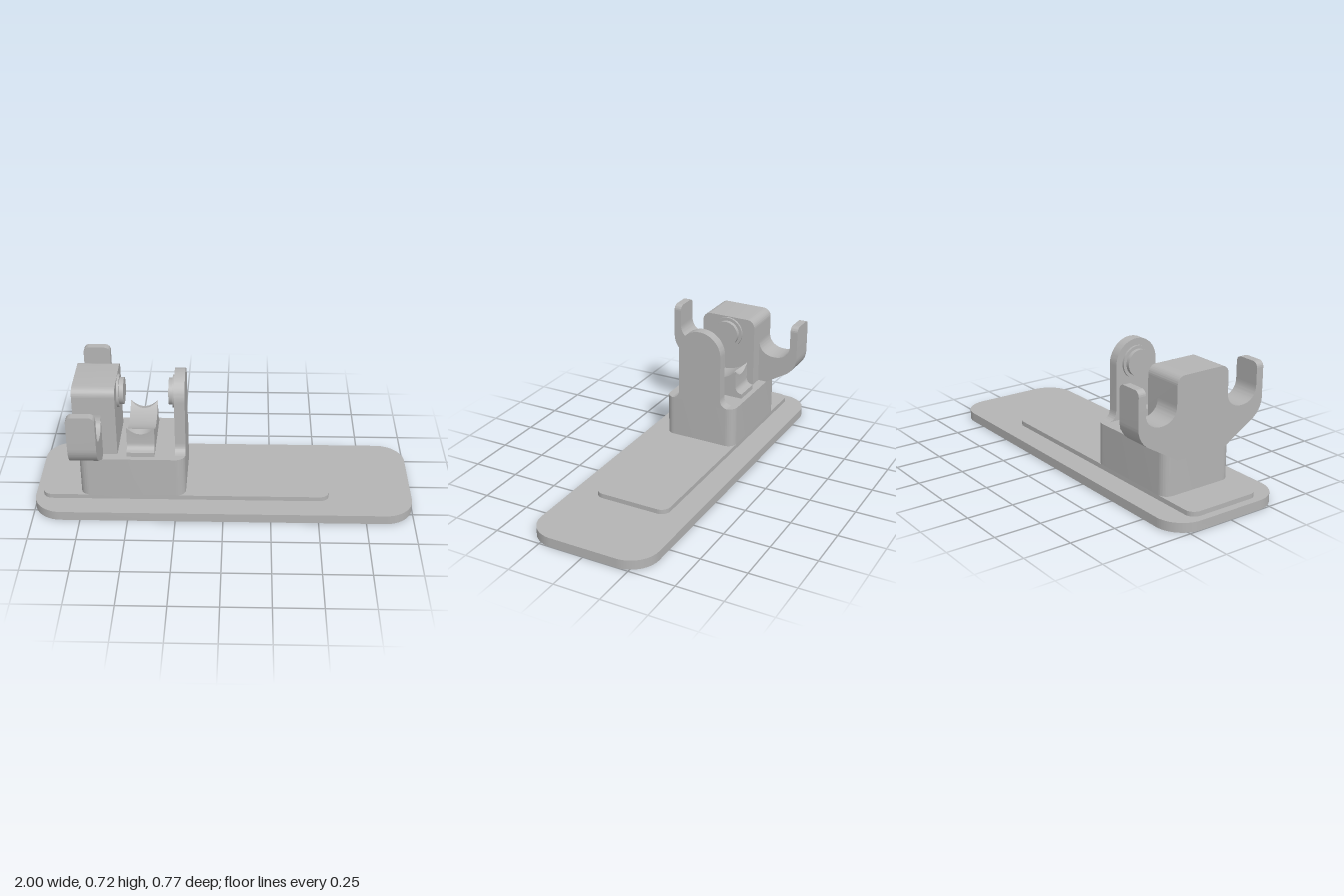
import * as THREE from 'three';
import { toCreasedNormals } from 'three/addons/utils/BufferGeometryUtils.js';

const grey = new THREE.MeshStandardMaterial({ color: 0xb4b4b4 });
grey.name = 'plain grey';

function part(name, geometry, crease = 0.6) {
  const flat = geometry.index ? geometry.toNonIndexed() : geometry;
  const mesh = new THREE.Mesh(toCreasedNormals(flat, crease), grey);
  mesh.name = name;
  return mesh;
}

const extrude = (shape, depth) =>
  new THREE.ExtrudeGeometry(shape, { depth, bevelEnabled: false, curveSegments: 20 });

// Rectangle with separate radii for the lower and upper corners
function roundedRect(x0, y0, x1, y1, low, high) {
  const s = new THREE.Shape();
  s.moveTo(x0 + low, y0).lineTo(x1 - low, y0);
  if (low) s.absarc(x1 - low, y0 + low, low, -Math.PI / 2, 0, false);
  s.lineTo(x1, y1 - high);
  s.absarc(x1 - high, y1 - high, high, 0, Math.PI / 2, false);
  s.lineTo(x0 + high, y1);
  s.absarc(x0 + high, y1 - high, high, Math.PI / 2, Math.PI, false);
  s.lineTo(x0, y0 + low);
  if (low) s.absarc(x0 + low, y0 + low, low, Math.PI, Math.PI * 1.5, false);
  return s;
}

// Horizontal slab, optionally with the six screw holes
function slab(name, x0, x1, halfZ, y0, y1, radius, holed) {
  const s = roundedRect(x0, -halfZ, x1, halfZ, radius, radius);
  if (holed) {
    for (const x of [-0.33, -0.55, -0.68]) {
      for (const z of [-0.15, 0.15]) {
        s.holes.push(new THREE.Path().absarc(x, z, 0.037, 0, Math.PI * 2, true));
      }
    }
  }
  return part(name, extrude(s, y1 - y0).rotateX(-Math.PI / 2).translate(0, y0, 0));
}

// Symmetric side profile (z, y) carried along x
const alongX = (name, shape, x0, x1) =>
  part(name, extrude(shape, x1 - x0).rotateY(Math.PI / 2).translate(x0, 0, 0));

// Upright ear with a round top and filleted foot
function earShape() {
  const s = new THREE.Shape();
  s.moveTo(-0.168, 0.3).lineTo(0.168, 0.3);
  s.quadraticCurveTo(0.125, 0.305, 0.125, 0.355);
  s.lineTo(0.125, 0.592);
  s.absarc(0, 0.592, 0.125, 0, Math.PI, false);
  s.lineTo(-0.125, 0.355);
  s.quadraticCurveTo(-0.125, 0.305, -0.168, 0.3);
  return s;
}

// Double hook: sloping underside, two cups, prongs cut at y = 0.54
function yokeShape() {
  const s = new THREE.Shape();
  s.moveTo(-0.15, 0.265).lineTo(0.15, 0.265).lineTo(0.318, 0.366);
  s.bezierCurveTo(0.36, 0.39, 0.385, 0.43, 0.385, 0.475);
  s.lineTo(0.385, 0.54).lineTo(0.343, 0.54);
  s.bezierCurveTo(0.343, 0.49, 0.305, 0.459, 0.25, 0.459);
  s.bezierCurveTo(0.195, 0.459, 0.158, 0.49, 0.158, 0.54);
  s.lineTo(-0.158, 0.54);
  s.bezierCurveTo(-0.158, 0.49, -0.195, 0.459, -0.25, 0.459);
  s.bezierCurveTo(-0.305, 0.459, -0.343, 0.49, -0.343, 0.54);
  s.lineTo(-0.385, 0.54).lineTo(-0.385, 0.475);
  s.bezierCurveTo(-0.385, 0.43, -0.36, 0.39, -0.318, 0.366);
  return s;
}

// Cradle section: filleted foot, horn with a sloping tip, round seat
function cradleSection(t) {
  const half = [[0.18, 0.3], [0.18, 0.325]];
  for (let i = 0; i <= 5; i++) {
    const a = (i / 5) * Math.PI / 2;
    half.push([0.177 - 0.035 * Math.sin(a), 0.361 - 0.035 * Math.cos(a)]);
  }
  half.push([0.142, 0.415 + 0.039 * t * t]);
  const end = Math.asin((0.105 + 0.0365 * t * t) / 0.196);
  for (let i = 0; i <= 10; i++) {
    const a = end * (1 - i / 10);
    half.push([0.196 * Math.sin(a), 0.59 - 0.196 * Math.cos(a)]);
  }
  const mirrored = half.slice(0, -1).reverse().map(([z, y]) => [-z, y]);
  return half.concat(mirrored);
}

function cradleGeometry(x0, x1, steps) {
  const positions = [], index = [];
  let n = 0;
  for (let k = 0; k <= steps; k++) {
    const ring = cradleSection((2 * k) / steps - 1);
    n = ring.length;
    for (const [z, y] of ring) positions.push(x0 + ((x1 - x0) * k) / steps, y, z);
  }
  for (let k = 0; k < steps; k++) {
    for (let i = 0; i < n; i++) {
      const j = (i + 1) % n, a = k * n + i, b = k * n + j;
      index.push(a, b + n, b, a, a + n, b + n);
    }
  }
  const outline = cradleSection(1).map(([z, y]) => new THREE.Vector2(z, y));
  const last = steps * n;
  for (const [a, b, c] of THREE.ShapeUtils.triangulateShape(outline, [])) {
    index.push(a, b, c, last + a, last + c, last + b);
  }
  const g = new THREE.BufferGeometry();
  g.setAttribute('position', new THREE.Float32BufferAttribute(positions, 3));
  g.setIndex(index);
  return g;
}

// Round boss lying along x
function disc(name, x0, x1, radius) {
  const g = new THREE.CylinderGeometry(radius, radius, x1 - x0, 40);
  return part(name, g.rotateZ(Math.PI / 2).translate((x0 + x1) / 2, 0.594, 0));
}

export function createModel() {
  const model = new THREE.Group();
  model.name = 'holderStand';

  model.add(
    slab('basePlate', -1, 1, 0.334, 0, 0.05, 0.15, true),
    slab('raisedPad', -0.96, 0.56, 0.208, 0.05, 0.075, 0.05, true),
    slab('pedestal', -0.755, -0.2, 0.208, 0.075, 0.3, 0.05, false),
    alongX('uprightEar', earShape(), -0.255, -0.2),
    alongX('hookYoke', yokeShape(), -0.775, -0.63),
    alongX('supportBlock', roundedRect(-0.158, 0.3, 0.158, 0.685, 0, 0.045), -0.775, -0.555),
    part('cradle', cradleGeometry(-0.505, -0.36, 14))
  );

  // Prongs at the ends of the hooks
  for (const z0 of [-0.385, 0.343]) {
    const shape = roundedRect(-0.775, 0.54, -0.63, 0.66, 0, 0.03);
    model.add(part('hookProng', extrude(shape, 0.042).translate(0, 0, z0)));
  }

  // Facing pivot bosses
  model.add(
    disc('blockBossCollar', -0.555, -0.543, 0.087),
    disc('blockBossPin', -0.543, -0.52, 0.07),
    disc('earBossCollar', -0.266, -0.255, 0.087),
    disc('earBossPin', -0.287, -0.266, 0.07)
  );
  return model;
}
